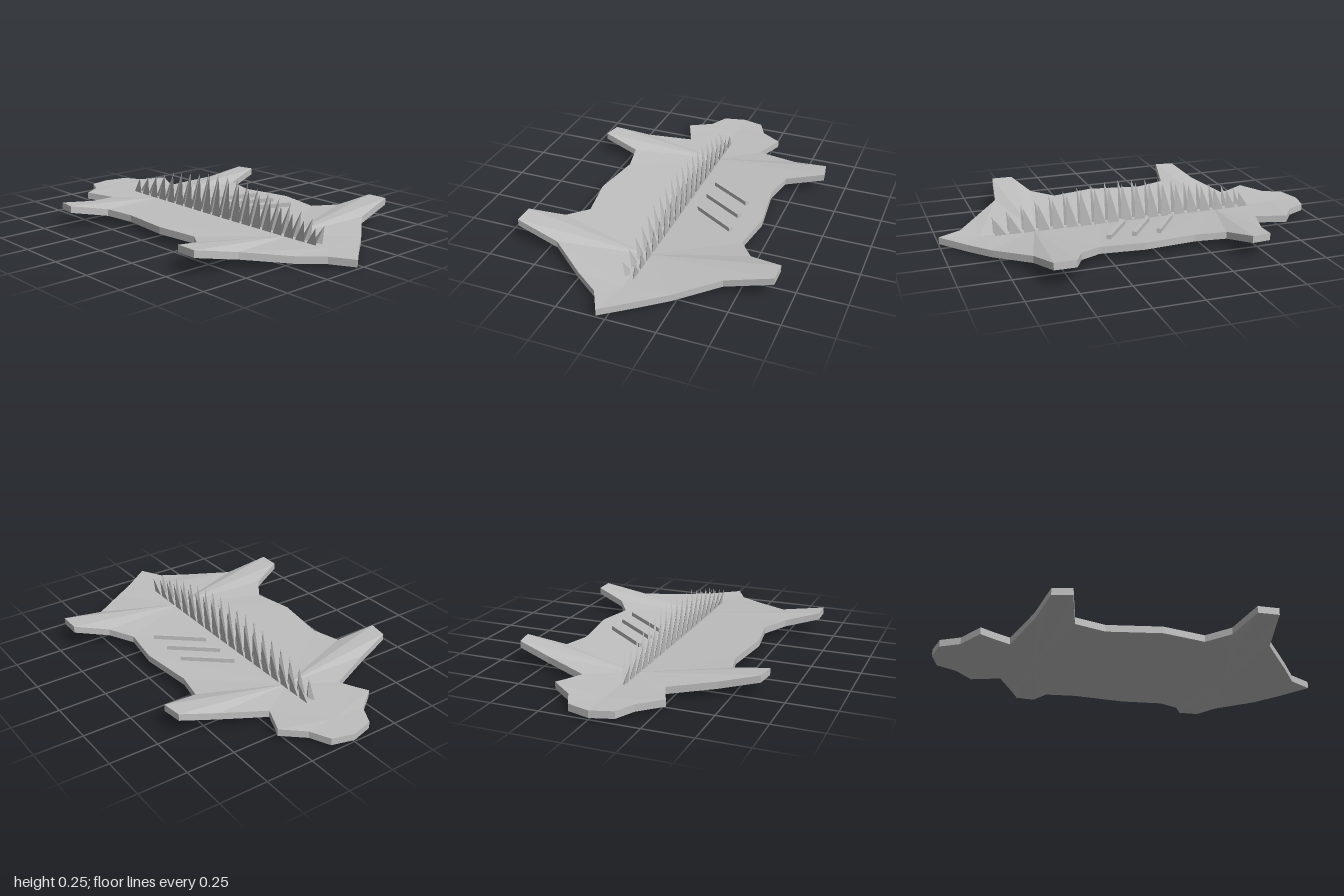
import * as THREE from 'three';
import { ConvexGeometry } from 'three/addons/geometries/ConvexGeometry.js';

const THICK = 0.036;

// The hide sags: lowest along the spine, rising towards the paws
const sag = (x, z) => 0.2 * z * z + 0.008 * x * x;

// Half outline from snout to rump: x, half width, index of the spine point it fans from
const OUTLINE = [
  [-0.97, 0.115, 0], [-0.87, 0.165, 0], [-0.785, 0.28, 0], [-0.72, 0.25, 0], [-0.635, 0.215, 1],
  [-0.55, 0.445, 1], [-0.5, 0.633, 1], [-0.4, 0.648, 1], [-0.355, 0.448, 1],
  [-0.2, 0.415, 1], [0.08, 0.45, 2], [0.3, 0.415, 3], [0.415, 0.497, 3],
  [0.485, 0.667, 3], [0.595, 0.667, 3], [0.63, 0.433, 3], [0.79, 0.235, 4], [0.88, 0.11, 4],
];
const SPINE = [-0.85, -0.49, 0.15, 0.52, 0.8];

function hideGeometry() {
  const back = OUTLINE.map(([x, w, s]) => ({ x, z: -w, s }));
  const front = OUTLINE.map(([x, w, s]) => ({ x, z: w, s })).reverse();
  const loop = [{ x: -1, z: 0, s: 0 }, ...back, { x: 1, z: 0.045, s: 4 }, ...front];
  const spine = SPINE.map((x) => ({ x, z: 0 }));

  const pos = [];
  const push = (p, up) => pos.push(p.x, sag(p.x, p.z) + (up ? THICK : 0), p.z);
  const both = (a, b, c) => {
    [a, c, b].forEach((p) => push(p, true));
    [a, b, c].forEach((p) => push(p, false));
  };
  loop.forEach((a, i) => {
    const b = loop[(i + 1) % loop.length];
    both(a, b, spine[a.s]);
    if (a.s !== b.s) both(b, spine[b.s], spine[a.s]);
    // Cut edge of the hide
    push(a, true); push(b, true); push(b, false);
    push(a, true); push(b, false); push(a, false);
  });
  const geo = new THREE.BufferGeometry();
  geo.setAttribute('position', new THREE.Float32BufferAttribute(pos, 3));
  geo.computeVertexNormals();
  return geo;
}

// One spine bristle: a thin three-sided spike swept towards the tail and outwards
function spikeGeometry(x, side, height) {
  const y = sag(x, 0) + THICK - 0.006;
  return new ConvexGeometry([
    new THREE.Vector3(x - 0.068, y, side * 0.022),
    new THREE.Vector3(x - 0.002, y, side * 0.022),
    new THREE.Vector3(x - 0.03, y, side * 0.006),
    new THREE.Vector3(x, height, side * 0.032),
  ]);
}

export function createModel() {
  const grey = new THREE.MeshStandardMaterial({ color: 0xbfbfbf });
  grey.name = 'hide grey';
  grey.flatShading = true;

  const model = new THREE.Group();
  model.name = 'spikedHide';
  const add = (parent, name, geo) => {
    const mesh = new THREE.Mesh(geo, grey);
    mesh.name = name;
    parent.add(mesh);
    return mesh;
  };

  add(model, 'hide', hideGeometry());

  // Two rows of bristles, tallest in the middle of the back
  const bristles = new THREE.Group();
  bristles.name = 'bristles';
  model.add(bristles);
  for (let i = 0; i < 19; i++) {
    const x = -0.62 + i * 0.075;
    const height = 0.13 + 0.12 * Math.sin((Math.PI * i) / 18);
    for (const side of [-1, 1]) add(bristles, 'bristle', spikeGeometry(x, side, height));
  }

  // Three slanted scars on the back half
  const scars = new THREE.Group();
  scars.name = 'scars';
  model.add(scars);
  for (const x of [-0.115, 0.015, 0.147]) {
    const a = new THREE.Vector3(x - 0.078, 0.065, -0.104);
    const b = new THREE.Vector3(x + 0.078, 0.082, -0.331);
    const scar = add(scars, 'scar', new THREE.BoxGeometry(0.022, 0.022, a.distanceTo(b)));
    scar.position.addVectors(a, b).multiplyScalar(0.5);
    scar.lookAt(b);
  }
  return model;
}
